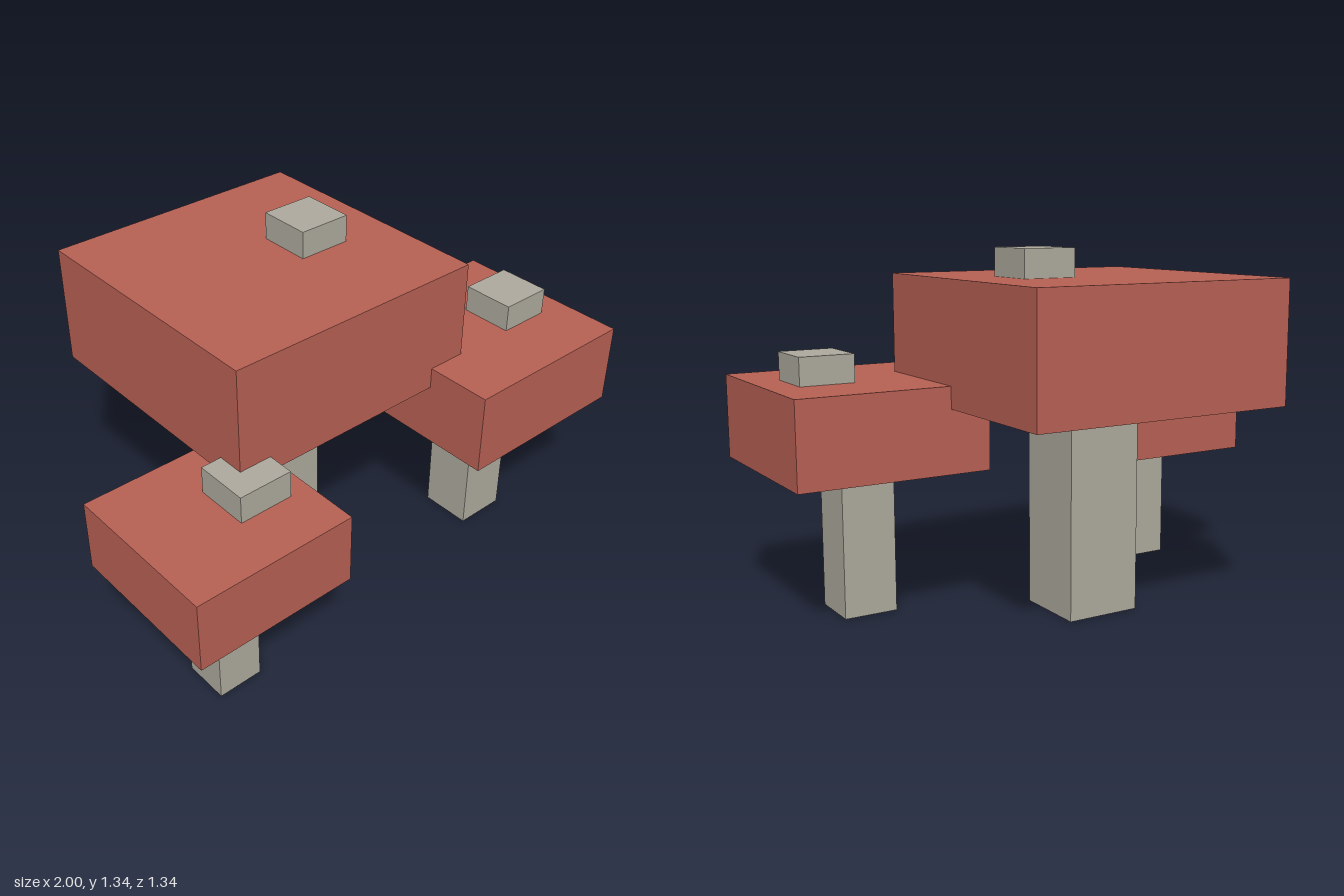
import * as THREE from 'three';

const capRed = new THREE.MeshStandardMaterial({ color: 0xb86054 });
capRed.name = 'capRed';
const stoneGrey = new THREE.MeshStandardMaterial({ color: 0xaeaa9e });
stoneGrey.name = 'stoneGrey';

// Box given by its centre in plan, its width and depth, and its bottom and top
function block(name, material, x, z, size, bottom, top) {
  const mesh = new THREE.Mesh(new THREE.BoxGeometry(size, top - bottom, size), material);
  mesh.position.set(x, (bottom + top) / 2, z);
  mesh.name = name;
  return mesh;
}

// A square mushroom: stem, cap and one raised spot on the cap
function mushroom({ name, x, z, stem, cap, underside, crown, spotX, spotZ }) {
  const group = new THREE.Group();
  group.name = name;
  group.position.set(x, 0, z);
  group.add(
    block('stem', stoneGrey, 0, 0, stem, 0, underside),
    block('cap', capRed, 0, 0, cap, underside, crown),
    block('spot', stoneGrey, spotX, spotZ, 0.205, crown, crown + 0.103),
  );
  return group;
}

export function createModel() {
  const model = new THREE.Group();
  model.name = 'mushroomCluster';
  const specs = [
    { name: 'largeMushroom', x: -0.08, z: -0.155, stem: 0.287, cap: 1.026,
      underside: 0.782, crown: 1.232, spotX: 0.206, spotZ: 0.002 },
    { name: 'mediumMushroom', x: 0.64, z: 0.257, stem: 0.203, cap: 0.718,
      underside: 0.55, crown: 0.863, spotX: 0.142, spotZ: 0 },
    { name: 'smallMushroom', x: -0.694, z: 0.36, stem: 0.173, cap: 0.614,
      underside: 0.472, crown: 0.74, spotX: 0.124, spotZ: -0.002 },
  ];
  for (const spec of specs) model.add(mushroom(spec));
  return model;
}
